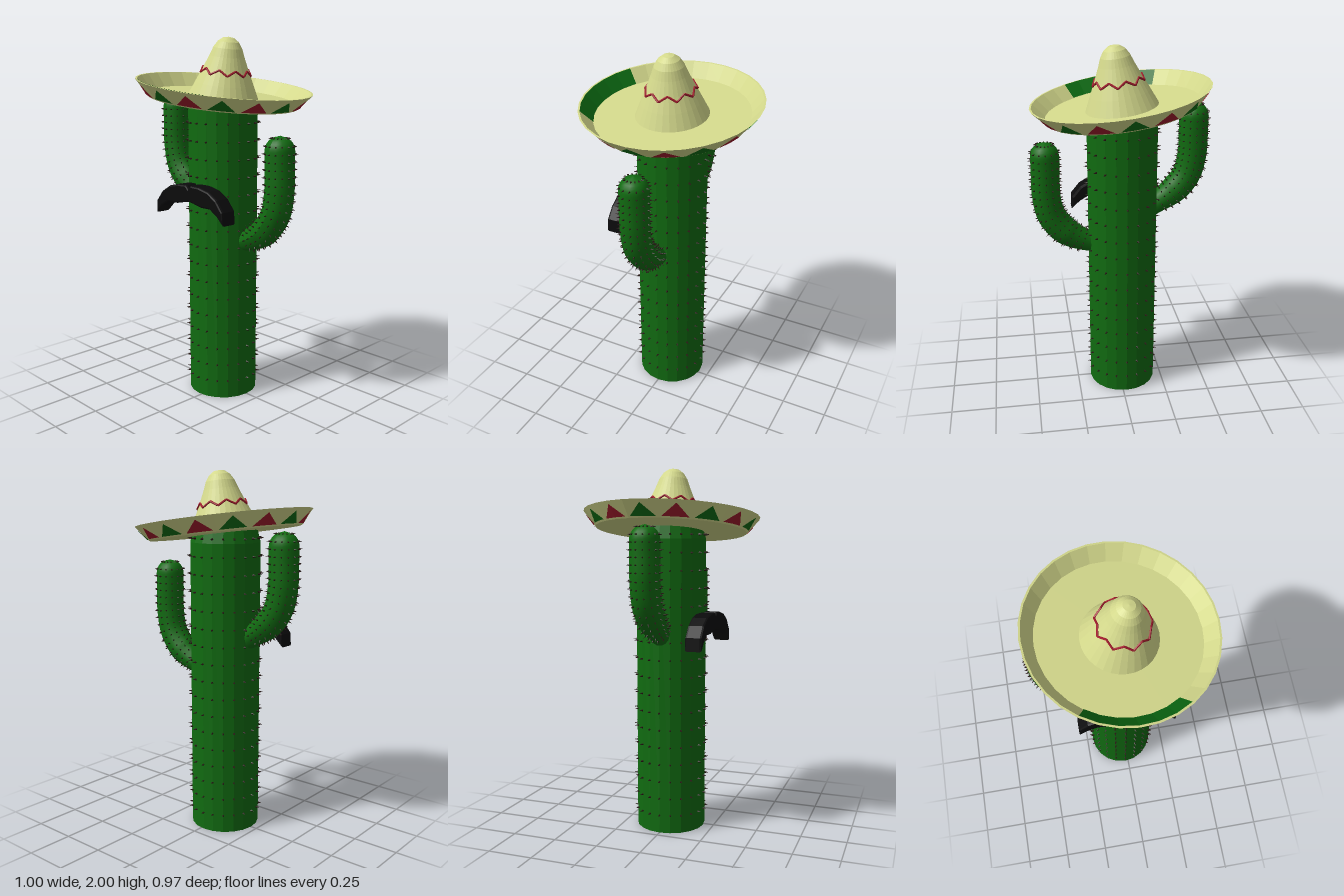
import * as THREE from 'three';
import { mergeGeometries } from 'three/addons/utils/BufferGeometryUtils.js';

const V2 = (list) => list.map(([x, y]) => new THREE.Vector2(x, y));
const V3 = (x, y, z) => new THREE.Vector3(x, y, z);
const mat = (color, flatShading = true) =>
  new THREE.MeshStandardMaterial({ color, flatShading, side: THREE.DoubleSide });

const CACTUS = 0x116b11, STRAW = 0xd4d98c, RED = 0xa01c2c, GREEN = 0x0c6b12, THORN = 0x2a1a16;
const TRUNK_X = -0.02;

function addMesh(parent, name, geometry, material) {
  const mesh = new THREE.Mesh(geometry, material);
  mesh.name = name;
  parent.add(mesh);
  return mesh;
}

// One small thorn standing on a surface point along its normal
function thorn(point, normal, length) {
  const g = new THREE.ConeGeometry(length * 0.3, length, 4);
  g.translate(0, length * 0.4, 0);
  g.applyQuaternion(new THREE.Quaternion().setFromUnitVectors(V3(0, 1, 0), normal));
  return g.translate(point.x, point.y, point.z);
}

// Trunk with a rounded top hidden in the hat, and rows of thorns
function buildTrunk() {
  const trunk = new THREE.Group();
  trunk.name = 'trunk';
  trunk.position.x = TRUNK_X;
  const profile = V2([[0, 0], [0.192, 0], [0.192, 1.62], [0.172, 1.7], [0.12, 1.77], [0, 1.8]]);
  addMesh(trunk, 'trunkBody', new THREE.LatheGeometry(profile, 20), mat(CACTUS));
  const thorns = [];
  for (let row = 0; row < 17; row++) {
    for (let i = 0; i < 20; i++) {
      const a = (i / 20) * Math.PI * 2;
      const n = V3(Math.sin(a), 0, Math.cos(a));
      thorns.push(thorn(n.clone().multiplyScalar(0.19).setY(0.1 + row * 0.0965), n, 0.025));
    }
  }
  addMesh(trunk, 'trunkThorns', mergeGeometries(thorns), mat(THORN));
  return trunk;
}

// Bent arm: a tube that narrows into the trunk and ends in a dome
function buildArm(name, points) {
  const arm = new THREE.Group();
  arm.name = name;
  const R = 0.079, N = 56, SIDES = 14;
  const path = new THREE.CatmullRomCurve3(points.map(([x, y]) => V3(x, y, 0)));
  const geo = new THREE.TubeGeometry(path, N, R, SIDES);
  const length = path.getLength();
  const pos = geo.attributes.position, nor = geo.attributes.normal;
  const thorns = [], p = V3(), n = V3();
  for (let i = 0; i <= N; i++) {
    const d = (i / N) * length, toEnd = length - d;
    const centre = path.getPointAt(i / N);
    let r = R * (0.65 + 0.35 * Math.min(1, d / 0.2));
    if (toEnd < R) r = Math.sqrt(Math.max(0, R * R - (R - toEnd) ** 2));
    for (let j = 0; j <= SIDES; j++) {
      const k = i * (SIDES + 1) + j;
      n.fromBufferAttribute(nor, k);
      p.copy(centre).addScaledVector(n, r);
      pos.setXYZ(k, p.x, p.y, p.z);
      if (j < SIDES && i % 3 === 1 && i > 6) thorns.push(thorn(p, n, 0.018));
    }
  }
  geo.computeVertexNormals();
  addMesh(arm, name + 'Body', geo, mat(CACTUS, false));
  addMesh(arm, name + 'Thorns', mergeGeometries(thorns), mat(THORN));
  return arm;
}

// Two mirrored drooping lobes cut from a thick bevelled plate
function buildMoustache() {
  const half = [[0.022, 0.212], [0.08, 0.21], [0.15, 0.195], [0.21, 0.16], [0.255, 0.105],
    [0.262, 0.05], [0.225, 0.09], [0.17, 0.122], [0.1, 0.122], [0.04, 0.135]];
  const outline = [[0, 0.19], ...half, [0, 0.142],
    ...half.map(([x, y]) => [-x, y]).reverse()];
  const geo = new THREE.ExtrudeGeometry(new THREE.Shape(V2(outline)), {
    depth: 0.07, bevelEnabled: true, bevelThickness: 0.012, bevelSize: 0.01, bevelSegments: 2,
  });
  geo.translate(TRUNK_X, 1, 0.182);
  const mesh = new THREE.Mesh(geo, mat(0x0b0b0c));
  mesh.name = 'moustache';
  return mesh;
}

// Tilted wide-brimmed hat
function buildHat() {
  const hat = new THREE.Group();
  hat.name = 'hat';
  hat.position.set(TRUNK_X, 1.665, 0);
  hat.rotation.z = -0.135;
  const straw = mat(STRAW);

  const brim = V2([[0.12, 0], [0.415, 0], [0.484, 0.082], [0.474, 0.082], [0.413, 0.01], [0.12, 0.01]]);
  addMesh(hat, 'brim', new THREE.LatheGeometry(brim, 32), straw);
  const crown = V2([[0.198, 0.005], [0.16, 0.09], [0.125, 0.165], [0.095, 0.235], [0.078, 0.28],
    [0.057, 0.313], [0.03, 0.333], [0, 0.338]]);
  addMesh(hat, 'crown', new THREE.LatheGeometry(crown, 32), straw);

  // Zigzag cord around the crown
  const zig = [];
  for (let i = 0; i < 18; i++) {
    const a = (i / 18) * Math.PI * 2, h = 0.157 + (i % 2 ? 0.014 : -0.014);
    const r = 0.128 + (0.165 - h) * 0.467;
    zig.push(V3(Math.cos(a) * r, h, Math.sin(a) * r));
  }
  const cord = new THREE.CatmullRomCurve3(zig, true, 'catmullrom', 0);
  addMesh(hat, 'crownZigzag', new THREE.TubeGeometry(cord, 144, 0.006, 6, true), mat(RED));

  // Alternating triangles on the outside of the brim
  const flare = (a, t) => {
    const r = 0.418 + 0.069 * t;
    return V3(Math.sin(a) * r, 0.082 * t - 0.001, Math.cos(a) * r);
  };
  const triangles = [[], []];
  for (let i = 0; i < 16; i++) {
    const a = (i / 16) * Math.PI * 2, w = 0.165;
    const top = flare(a, 0.82), mid = flare(a, 0.1);
    triangles[i % 2].push(flare(a - w, 0.1), mid, top, mid, flare(a + w, 0.1), top);
  }
  triangles.forEach((pts, i) => {
    const geo = new THREE.BufferGeometry().setFromPoints(pts);
    geo.computeVertexNormals();
    addMesh(hat, i ? 'redTriangles' : 'greenTriangles', geo, mat(i ? RED : GREEN));
  });

  // Green band inside the front of the brim
  const span = Math.PI * 3 / 16;
  const band = V2([[0.473, 0.083], [0.411, 0.013]]);
  addMesh(hat, 'brimBand', new THREE.LatheGeometry(band, 6, -span, span * 2), mat(GREEN));
  return hat;
}

export function createModel() {
  const model = new THREE.Group();
  model.name = 'cactus';
  model.add(
    buildTrunk(),
    buildArm('leftArm', [[0.12, 0.895], [0.2, 0.92], [0.3, 0.98], [0.375, 1.08], [0.4, 1.2], [0.4, 1.35], [0.4, 1.5]]),
    buildArm('rightArm', [[-0.16, 1.08], [-0.22, 1.125], [-0.31, 1.19], [-0.38, 1.28], [-0.408, 1.4], [-0.41, 1.55], [-0.41, 1.69]]),
    buildMoustache(),
    buildHat(),
  );
  return model;
}
